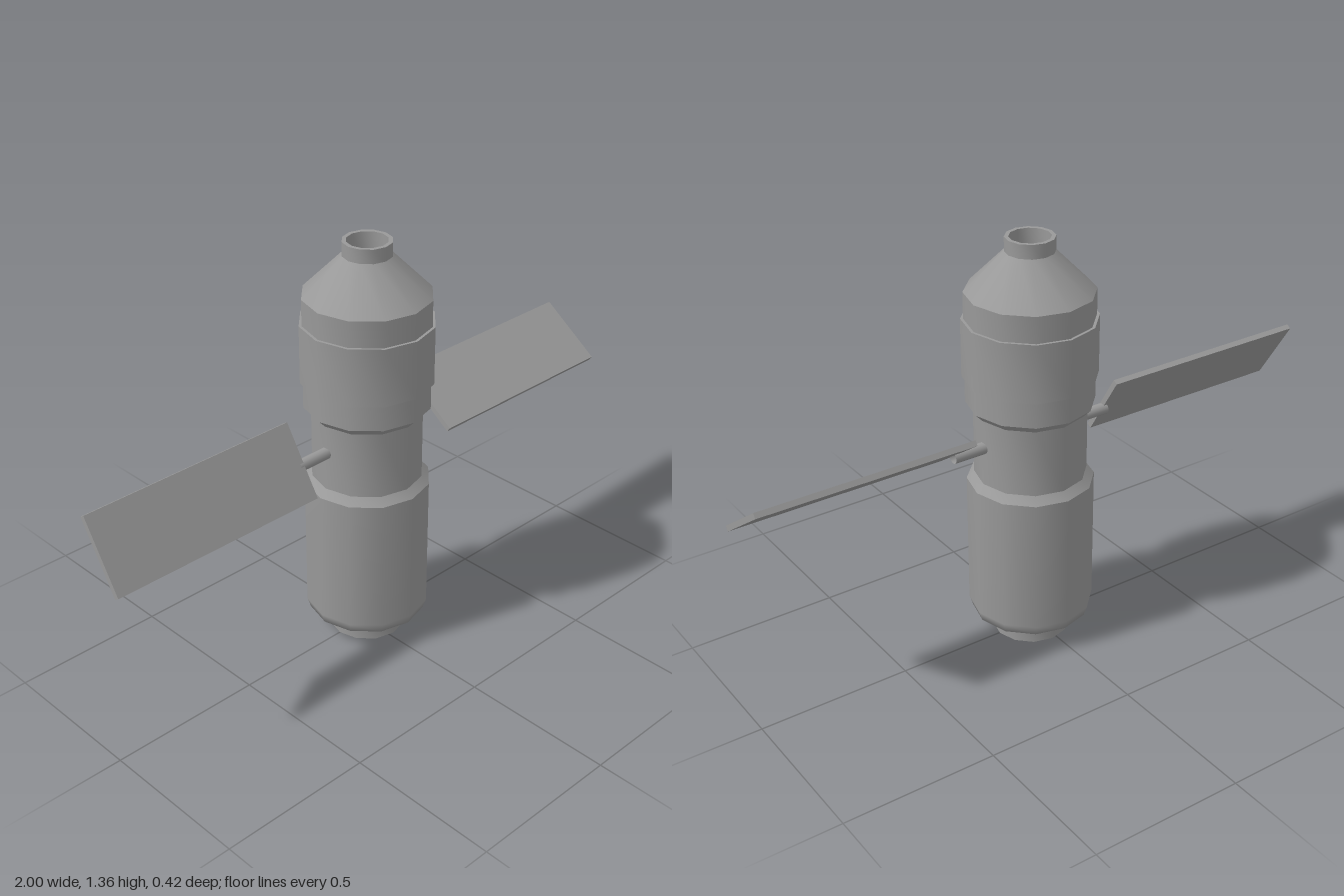
import * as THREE from 'three';
import { toCreasedNormals } from 'three/addons/utils/BufferGeometryUtils.js';

const AXIS_X = 0.016;   // hull axis sits slightly off centre because the wings differ in length
const SIDES = 12;
const material = new THREE.MeshStandardMaterial({ color: 0x999999 });
const openMaterial = new THREE.MeshStandardMaterial({ color: 0x999999, side: THREE.DoubleSide });

function addMesh(parent, name, geometry, mat = material) {
  const mesh = new THREE.Mesh(geometry, mat);
  mesh.name = name;
  parent.add(mesh);
  return mesh;
}

// Twelve-sided turned part with smooth normals; profile runs bottom to top
function turned(profile) {
  return new THREE.LatheGeometry(profile.map(([r, y]) => new THREE.Vector2(r, y)), SIDES);
}

// Same, but sharp at the profile steps
function turnedSharp(profile) {
  return toCreasedNormals(turned(profile), THREE.MathUtils.degToRad(34));
}

export function createModel() {
  const model = new THREE.Group();
  model.name = 'spaceStation';

  const hull = new THREE.Group();
  hull.name = 'hull';
  hull.position.x = AXIS_X;
  model.add(hull);

  // Rear docking ring with a small recessed port
  addMesh(hull, 'rearDock', turnedSharp([
    [0, 0.03], [0.045, 0.03], [0.045, 0], [0.124, 0], [0.124, 0.05],
  ]));

  // Lower module with a softly rounded base
  addMesh(hull, 'lowerModule', turned([
    [0.1, 0.043], [0.125, 0.043], [0.19, 0.077], [0.201, 0.11], [0.201, 0.555],
  ]));

  // Narrow waist, upper module and nose cone
  addMesh(hull, 'upperModule', turnedSharp([
    [0.201, 0.555], [0.177, 0.58], [0.177, 0.8], [0.201, 0.825],
    [0.201, 1.185], [0.077, 1.31],
  ]));

  // Raised band around the upper module
  addMesh(hull, 'band', turnedSharp([
    [0.197, 0.91], [0.21, 0.91], [0.21, 1.1], [0.197, 1.1],
  ]));

  // Open collar on the nose with a small sunken hatch in its floor
  addMesh(hull, 'noseCollar', turnedSharp([
    [0.077, 1.3], [0.077, 1.355], [0.064, 1.355], [0.064, 1.28],
    [0.033, 1.28], [0.033, 1.25], [0, 1.25],
  ]));

  // Solar wings: inner and outer x, height, tilt in degrees, and where the boom ends
  const wings = [
    { side: 'left', from: 0.28, to: 1, y: 0.725, tilt: 35, boomEnd: 0.3 },
    { side: 'right', from: -0.262, to: -1, y: 0.722, tilt: 58, boomEnd: -0.275 },
  ];
  for (const { side, from, to, y, tilt, boomEnd } of wings) {
    const panel = addMesh(model, side + 'SolarPanel', new THREE.BoxGeometry(Math.abs(to - from), 0.018, 0.247));
    panel.position.set((from + to) / 2, y, 0);
    panel.rotation.x = THREE.MathUtils.degToRad(tilt);

    // Hollow boom tube reaching from inside the waist to under the panel
    const boomStart = AXIS_X + Math.sign(to) * 0.1;
    const boom = addMesh(model, side + 'Boom',
      new THREE.CylinderGeometry(0.019, 0.019, Math.abs(boomEnd - boomStart), SIDES, 1, true), openMaterial);
    boom.rotation.z = Math.PI / 2;
    boom.position.set((boomEnd + boomStart) / 2, 0.706, 0);
  }

  return model;
}
